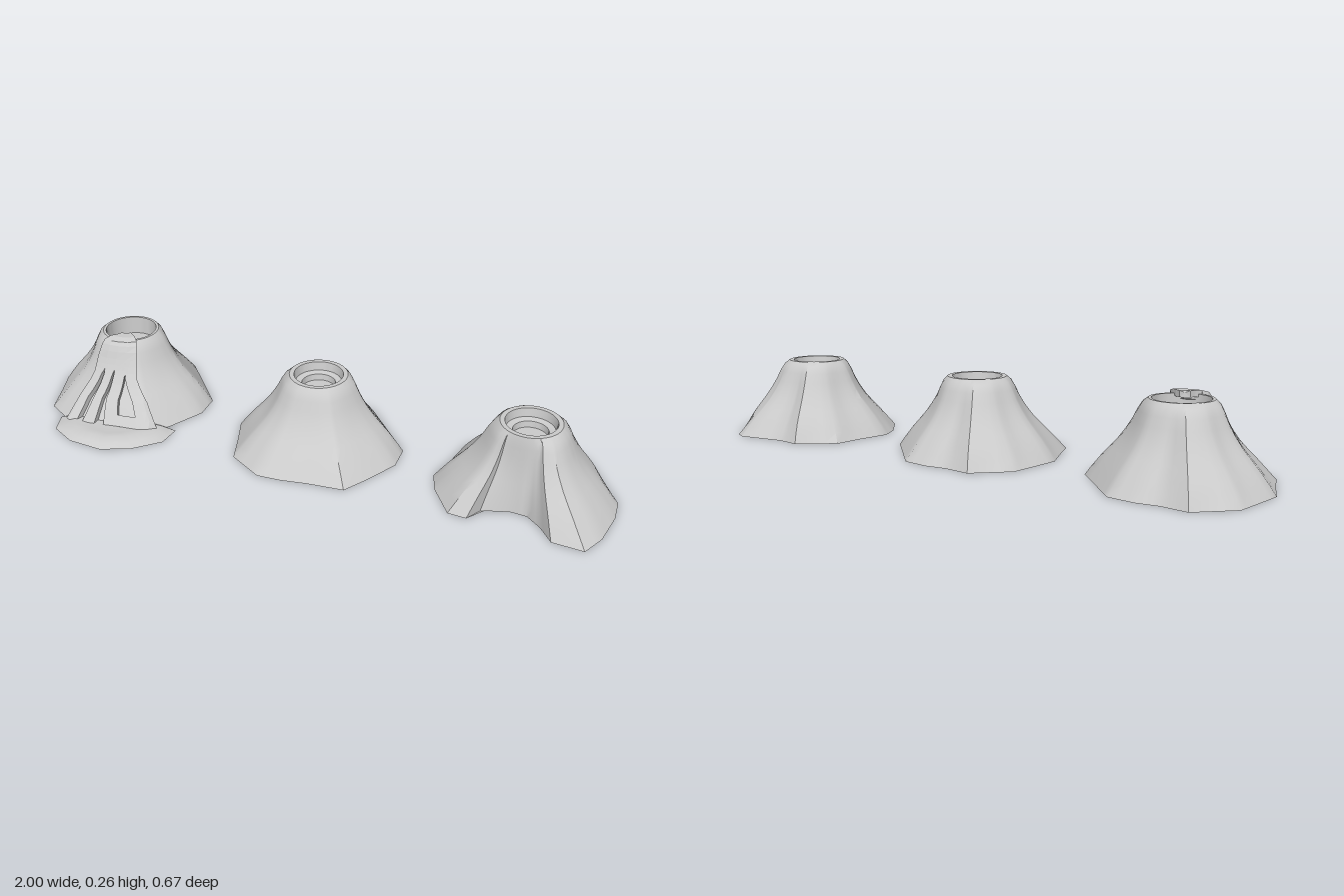
import * as THREE from 'three';
import { toCreasedNormals } from 'three/addons/utils/BufferGeometryUtils.js';

const smooth = new THREE.MeshStandardMaterial({ color: 0xcccccc });
const faceted = new THREE.MeshStandardMaterial({ color: 0xcccccc, flatShading: true });
const RIM = 0.095;

// Slope profile: [fraction from rim to foot, height]
const SLOPE = [[1, 0], [0.86, 0.03], [0.7, 0.064], [0.55, 0.094], [0.42, 0.122],
  [0.31, 0.152], [0.22, 0.182], [0.15, 0.212], [0.08, 0.236], [0, 0.25]];

// Foot outlines around the crater centre, in hundredths: [x, z, bulge]
const ROUND = [[0, -26], [-7, -25, 0.1], [-16, -26, 0.6], [-26, -16, 0.15], [-27, -7], [-28, 3, 0.2], [-24, 12],
  [-20, 22], [-8, 28], [0, 27], [8, 25], [20, 23], [24, 15], [29, 3], [28, -6, 0.2], [17, -17], [9, -25]];
const NOTCHED = [[10, -27, 0.1], [-6, -24], [-14, -25, 0.6], [-25, -16, 0.15], [-26, -6], [-28, 5, 0.2], [-25, 12],
  [-17, 22], [-11, 22], [-8.5, 16.5], [-4, 14.5], [0, 13], [5, 13], [10, 16.5], [15, 22], [25, 22], [28, 14],
  [29, 2], [28, -6], [20, -17, 0.4], [14, -25]];

// Closed skin over equal-length rings, capped at both ends
function skin(rings) {
  const n = rings[0].length, pos = rings.flat(2), index = [];
  const centre = (ring) => [0, 1, 2].map((k) => ring.reduce((s, p) => s + p[k], 0) / n);
  const first = rings.length * n, last = first + 1;
  const end = rings.length - 1;
  pos.push(...centre(rings[0]), ...centre(rings[end]));
  for (let i = 0; i < n; i++) {
    const j = (i + 1) % n;
    for (let r = 0; r < end; r++) {
      const a = r * n + i, b = r * n + j;
      index.push(a, b, b + n, a, b + n, a + n);
    }
    index.push(first, j, i, last, end * n + i, end * n + j);
  }
  const g = new THREE.BufferGeometry();
  g.setAttribute('position', new THREE.Float32BufferAttribute(pos, 3));
  g.setIndex(index);
  return g;
}

// Outline resampled with intermediate points, in units
function refine(outline, steps) {
  return outline.flatMap((p, i) => {
    const q = outline[(i + 1) % outline.length];
    return Array.from({ length: steps }, (_, s) => [0, 1, 2].map((k) =>
      THREE.MathUtils.lerp(p[k] || 0, q[k] || 0, s / steps) * (k < 2 ? 0.01 : 1)));
  });
}

// Cone from foot to rim, then down into the crater
function mountain(name, outline, crater, x, z) {
  const foot = refine(outline, 3);
  const rings = SLOPE.map(([f, y]) => foot.map(([px, pz, bulge]) => {
    const R = Math.hypot(px, pz);
    const r = RIM + (R - RIM) * (f + bulge * f * (1 - f));
    return [px / R * r, y, pz / R * r];
  }));
  for (const [r, y] of crater) {
    rings.push(foot.map(([px, pz]) => {
      const R = Math.hypot(px, pz);
      return [px / R * r, y, pz / R * r];
    }));
  }
  const mesh = new THREE.Mesh(toCreasedNormals(skin(rings), 0.6), smooth);
  mesh.name = name;
  mesh.position.set(x, 0, z);
  return mesh;
}

// Distance from the crater centre to the foot, angle measured from +z to +x
function footRadius(outline, a) {
  const dx = Math.sin(a), dz = Math.cos(a);
  for (let i = 0; i < outline.length; i++) {
    const [px, pz] = outline[i], [qx, qz] = outline[(i + 1) % outline.length];
    const ex = qx - px, ez = qz - pz, det = dx * ez - dz * ex;
    const t = (px * ez - pz * ex) / det, s = (px * dz - pz * dx) / det;
    if (t > 0 && s >= 0 && s <= 1) return t * 0.01;
  }
  return 0.27;
}

function slopeHeight(f) {
  for (let i = 1; i < SLOPE.length; i++) {
    const [f1, y1] = SLOPE[i - 1], [f0, y0] = SLOPE[i];
    if (f >= f0) return y0 + (y1 - y0) * (f - f0) / (f1 - f0);
  }
  return 0.25;
}

// Point on the slope, raised by h
function onSlope(f, degrees, h) {
  const a = THREE.MathUtils.degToRad(degrees);
  const r = RIM + (footRadius(ROUND, a) - RIM) * f + (f > 0 ? h * 0.8 : 0);
  return [Math.sin(a) * r, Math.max(0, slopeHeight(f) + h * 0.65), Math.cos(a) * r];
}

// Lava strip laid on the slope; rows are [fraction, start angle, end angle]
function lavaStrip(rows, h) {
  const rings = [], steps = 3, across = 5;
  for (let i = 0; i < (rows.length - 1) * steps + 1; i++) {
    const k = Math.min(Math.floor(i / steps), rows.length - 2), t = i / steps - k;
    const [f, a0, a1] = rows[k].map((v, c) => THREE.MathUtils.lerp(v, rows[k + 1][c], t));
    const ring = [onSlope(f, a0, -0.012)];
    for (let j = 0; j < across; j++) ring.push(onSlope(f, a0 + (a1 - a0) * j / (across - 1), h));
    ring.push(onSlope(f, a1, -0.012));
    rings.push(ring);
  }
  return skin(rings.reverse());
}

export function createModel() {
  const model = new THREE.Group();

  // Three mountains in a row
  const stepped = [[0.08, 0.25], [0.075, 0.222], [0.055, 0.218], [0.052, 0.198]];
  const open = [[0.086, 0.25], [0.083, 0.19]];
  const lavaX = -0.72, lavaZ = -0.048;
  model.add(
    mountain('eruptingMountain', ROUND, open, lavaX, lavaZ),
    mountain('roundMountain', ROUND, stepped, 0.005, -0.048),
    mountain('notchedMountain', NOTCHED, stepped, 0.705, -0.07),
  );

  // Lava spilling over the rim and splitting into streams
  const lava = new THREE.Group();
  lava.name = 'lavaFlow';
  lava.position.set(lavaX, 0, lavaZ);
  const strips = {
    lavaSpill: [[-0.2, 4, 34], [-0.1, -2, 40], [0.04, -14, 44], [0.2, -16, 40], [0.27, -15, 38]],
    leftStream: [[0.2, -16, 2], [0.35, -14, -4], [0.65, -17, -9], [0.98, -18, -10]],
    middleStream: [[0.2, -3, 15], [0.35, -1, 9], [0.65, -4, 4], [0.99, -6, 3]],
    wideStream: [[0.2, 12, 40], [0.35, 11, 24], [0.65, 8, 19], [0.98, 10, 21]],
    rightStream: [[0.2, 25, 40], [0.38, 25, 38], [0.65, 32, 44], [0.98, 35, 47]],
    lavaBridge: [[0.83, 17, 39], [0.97, 18, 38]],
  };
  for (const [name, rows] of Object.entries(strips)) {
    const mesh = new THREE.Mesh(lavaStrip(rows, 0.018), faceted);
    mesh.name = name;
    lava.add(mesh);
  }
  model.add(lava);

  // Lava pool at the foot
  const poolEdge = refine([[-7, -6], [-20, 2], [-17, 9], [-8, 13], [4, 13], [13, 8], [20, 0], [20, -8], [12, -9]], 2);
  const pool = new THREE.Mesh(toCreasedNormals(skin(
    [[1, 0], [0.86, 0.011], [0.68, 0.022], [0.45, 0.018]].map(([s, y]) => poolEdge.map(([x, z]) => [x * s, y, z * s])),
  ), 0.6), smooth);
  pool.name = 'lavaPool';
  pool.position.set(-0.65, 0, 0.2);
  model.add(pool);

  return model;
}
